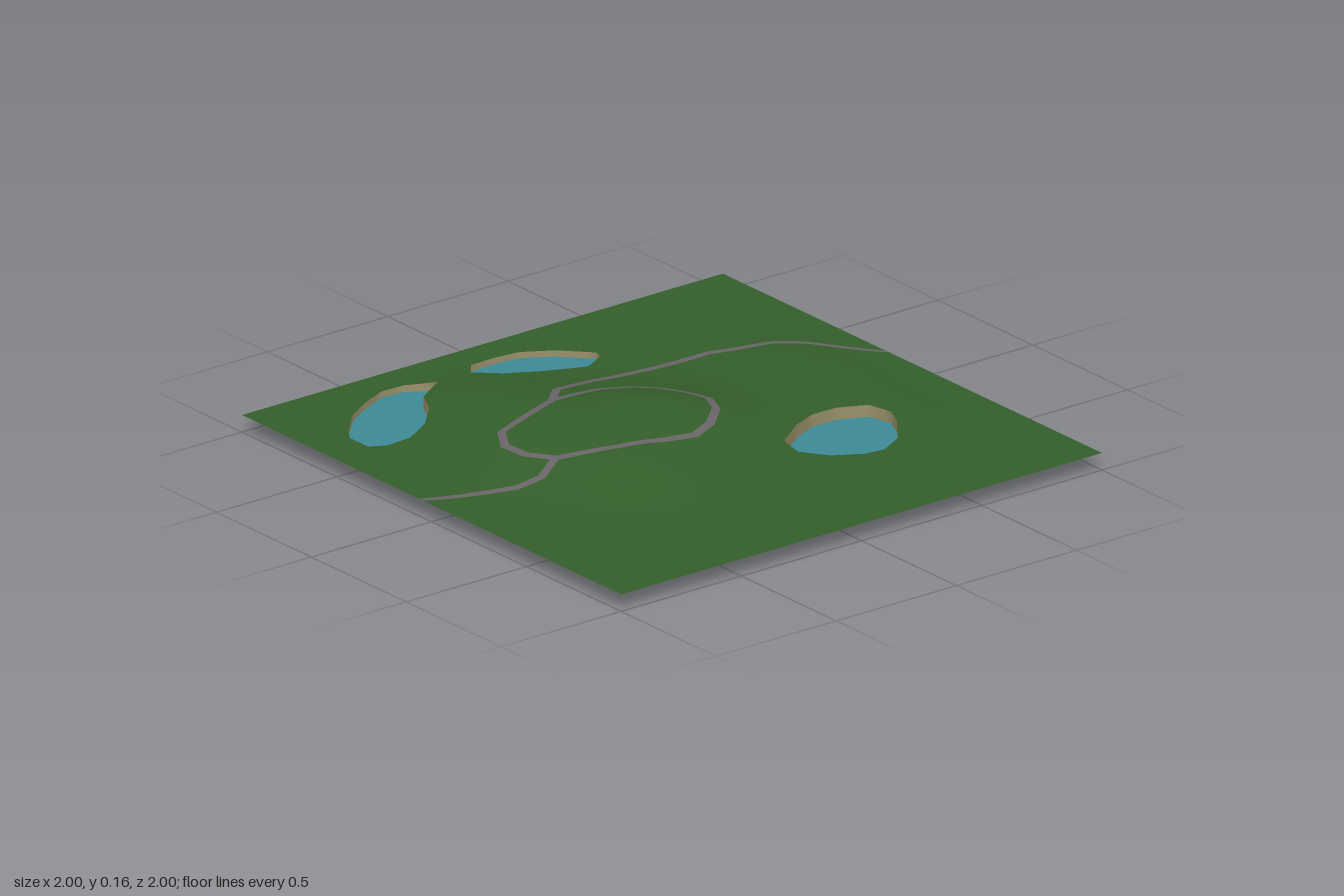
import * as THREE from 'three';

const BASE = 0.06, WATER = 0.04, STEP = 0.04, ROAD = 0.014;
const v2 = (list) => list.map(([x, z]) => new THREE.Vector2(x, z));

// Hills: x, z, height, radius
const hills = [
  [-0.05, 0.03, 0.095, 0.22], [-0.5, 0.3, 0.045, 0.22], [0.25, 0.35, 0.05, 0.15],
  [0.65, -0.1, 0.025, 0.25], [-0.2, -0.72, 0.025, 0.18], [-0.1, 0.5, 0.05, 0.2],
  [0.3, -0.6, 0.02, 0.28],
];

const lakes = {
  eastLake: v2([[0.33, -0.65], [0.4, -0.62], [0.52, -0.53], [0.575, -0.43], [0.57, -0.35], [0.52, -0.25],
    [0.43, -0.185], [0.33, -0.205], [0.24, -0.33], [0.195, -0.43], [0.195, -0.53], [0.24, -0.63]]),
  westLake: v2([[-0.71, -0.245], [-0.675, -0.235], [-0.62, -0.14], [-0.665, 0.03], [-0.715, 0.14],
    [-0.81, 0.2], [-0.875, 0.145], [-0.88, 0.05], [-0.87, -0.05], [-0.81, -0.15]]),
  southLake: v2([[-0.81, 0.335], [-0.715, 0.47], [-0.62, 0.52], [-0.53, 0.61], [-0.48, 0.71], [-0.49, 0.8],
    [-0.525, 0.85], [-0.62, 0.85], [-0.68, 0.81], [-0.77, 0.72], [-0.825, 0.63], [-0.875, 0.52], [-0.87, 0.43]]),
};

const northRoad = v2([[-0.125, -1.015], [-0.33, -0.82], [-0.4, -0.72], [-0.43, -0.62], [-0.47, -0.52],
  [-0.475, -0.2], [-0.465, -0.03], [-0.43, 0.14], [-0.335, 0.235]]);
const southRoad = v2([[0.045, 0.52], [0.1, 0.62], [0.095, 0.72], [0.03, 0.84], [-0.05, 1.01]]);
const ringRoad = v2([[-0.335, 0.235], [-0.335, 0.04], [-0.3, -0.05], [-0.24, -0.11], [-0.05, -0.19],
  [0.05, -0.145], [0.14, -0.05], [0.185, 0.05], [0.175, 0.17], [0.14, 0.335], [0.045, 0.52],
  [-0.05, 0.575], [-0.145, 0.58], [-0.24, 0.52], [-0.29, 0.36]]);

// Ground height, flattening out towards the edges
function ground(x, z) {
  let h = 0;
  for (const [cx, cz, a, r] of hills) h += a * Math.exp(-((x - cx) ** 2 + (z - cz) ** 2) / (2 * r * r));
  const fade = (t) => THREE.MathUtils.smoothstep(1 - Math.abs(t), 0, 0.3);
  return BASE + h * fade(x) * fade(z);
}

// Fill an outline with holes, split its triangles finely and drape them over a height rule
function drape(outline, holes, height) {
  const pts = [outline, ...holes].flat();
  const position = [], normal = [], e = 0.004;
  const put = (p) => {
    position.push(p.x, height(p.x, p.y), p.y);
    const n = new THREE.Vector3(height(p.x - e, p.y) - height(p.x + e, p.y), 2 * e,
      height(p.x, p.y - e) - height(p.x, p.y + e)).normalize();
    normal.push(n.x, n.y, n.z);
  };
  // Halve the longest edge until every edge is short
  const split = (a, b, c) => {
    const ab = a.distanceTo(b), bc = b.distanceTo(c), ca = c.distanceTo(a);
    if (Math.max(ab, bc, ca) <= STEP) {
      [a, b, c].forEach(put);
      return;
    }
    let [p, q, r] = [a, b, c];
    if (bc > ab && bc >= ca) [p, q, r] = [b, c, a];
    else if (ca > ab) [p, q, r] = [c, a, b];
    const m = p.clone().add(q).multiplyScalar(0.5);
    split(p, m, r);
    split(m, q, r);
  };
  for (const [i, j, k] of THREE.ShapeUtils.triangulateShape(outline, holes)) {
    const a = pts[i], b = pts[j], c = pts[k];
    const up = (b.y - a.y) * (c.x - a.x) - (b.x - a.x) * (c.y - a.y) > 0;
    if (up) split(a, b, c); else split(a, c, b);
  }
  const g = new THREE.BufferGeometry();
  g.setAttribute('position', new THREE.Float32BufferAttribute(position, 3));
  g.setAttribute('normal', new THREE.Float32BufferAttribute(normal, 3));
  return g;
}

// Upright bank from y = 0 to the ground along a closed outline, smooth around
function bank(outline) {
  const ring = outline.flatMap((p, i) => {
    const q = outline[(i + 1) % outline.length];
    const n = Math.ceil(p.distanceTo(q) / STEP);
    return Array.from({ length: n }, (_, k) => p.clone().lerp(q, k / n));
  });
  const position = [], index = [], n = ring.length;
  ring.forEach((p, i) => {
    position.push(p.x, 0, p.y, p.x, ground(p.x, p.y), p.y);
    const a = 2 * i, b = 2 * ((i + 1) % n);
    index.push(a, a + 1, b, b, a + 1, b + 1);
  });
  const g = new THREE.BufferGeometry();
  g.setAttribute('position', new THREE.Float32BufferAttribute(position, 3));
  g.setIndex(index);
  g.computeVertexNormals();
  return g;
}

// Line moved sideways, with mitred corners
function offset(path, d, closed) {
  const n = path.length;
  return path.map((p, i) => {
    const prev = closed ? path[(i + n - 1) % n] : path[Math.max(i - 1, 0)];
    const next = closed ? path[(i + 1) % n] : path[Math.min(i + 1, n - 1)];
    const t = p.clone().sub(prev).normalize().add(next.clone().sub(p).normalize()).normalize();
    const along = (next === p ? p.clone().sub(prev) : next.clone().sub(p)).normalize();
    const mitre = Math.max(t.dot(along), 0.6);
    return new THREE.Vector2(p.x - (t.y * d) / mitre, p.y + (t.x * d) / mitre).clampScalar(-1, 1);
  });
}

export function createModel() {
  const material = (name, color) => {
    const m = new THREE.MeshStandardMaterial({ color, side: THREE.DoubleSide });
    m.name = name;
    return m;
  };
  const grass = material('grass', 0x345e2a);
  const water = material('water', 0x3d8a96);
  const sand = material('sand', 0x9a916a);
  const gravel = material('gravel', 0x6a6468);

  const model = new THREE.Group();
  model.name = 'parkLandscape';
  const add = (name, geometry, mat) => {
    const mesh = new THREE.Mesh(geometry, mat);
    mesh.name = name;
    model.add(mesh);
  };

  // Ground with openings for the lakes
  add('ground', drape(v2([[-1, -1], [1, -1], [1, 1], [-1, 1]]), Object.values(lakes), ground), grass);

  // Lakes: bank and water surface
  for (const [name, outline] of Object.entries(lakes)) {
    add(name + 'Bank', bank(outline), sand);
    add(name + 'Water', drape(outline, [], () => WATER), water);
  }

  // Paths, laid just over and under the ground sheet
  for (const [side, lift] of [['Top', 0.002], ['Underside', -0.002]]) {
    const height = (x, z) => ground(x, z) + lift;
    for (const [name, path] of [['northPath', northRoad], ['southPath', southRoad]]) {
      const strip = [...offset(path, ROAD, false), ...offset(path, -ROAD, false).reverse()];
      add(name + side, drape(strip, [], height), gravel);
    }
    const [a, b] = [offset(ringRoad, ROAD, true), offset(ringRoad, -ROAD, true)];
    const area = (r) => Math.abs(THREE.ShapeUtils.area(r));
    const [outer, inner] = area(a) > area(b) ? [a, b] : [b, a];
    add('ringPath' + side, drape(outer, [inner], height), gravel);
  }
  return model;
}
